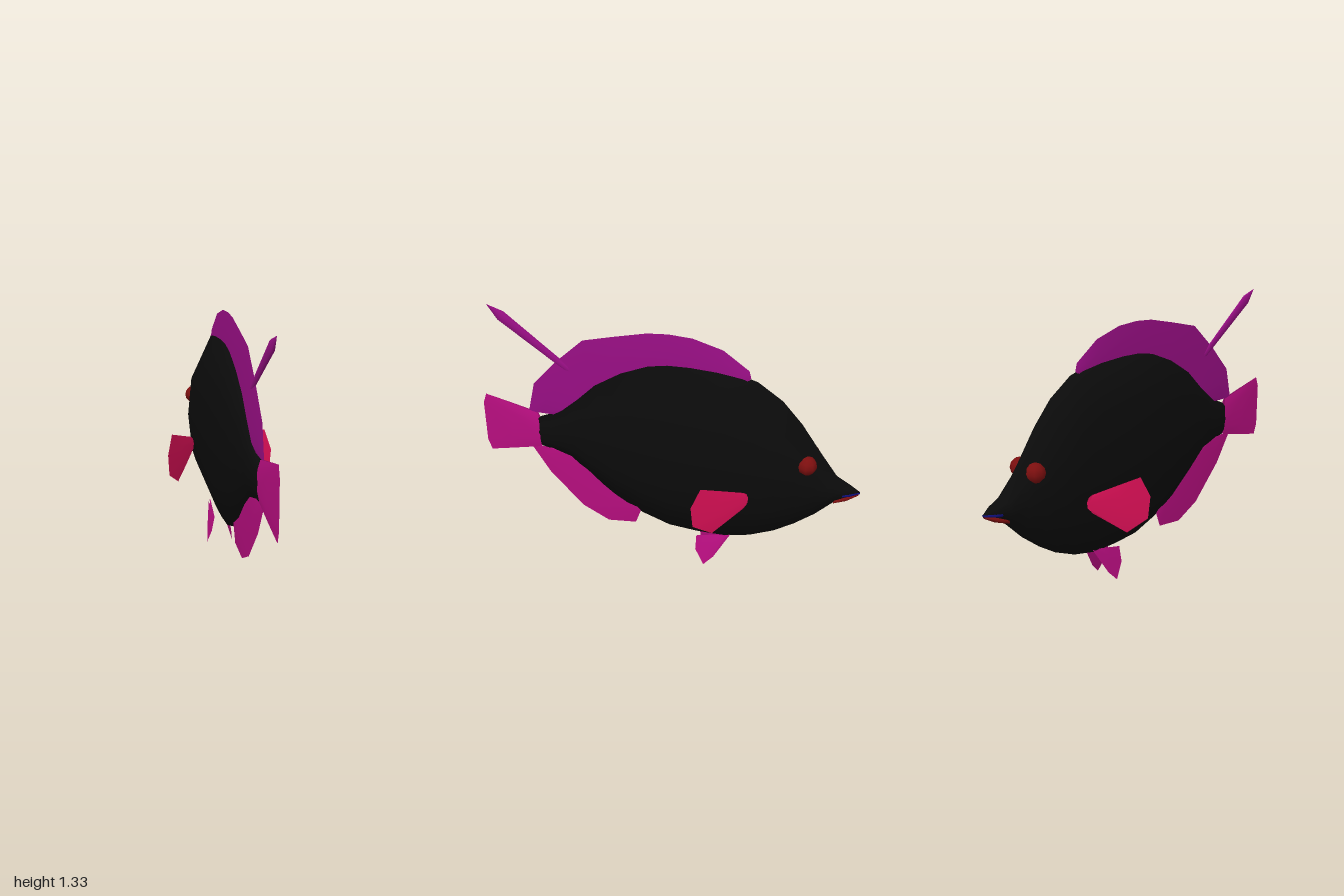
import * as THREE from 'three';

const mat = (name, color, side = THREE.FrontSide) => {
  const m = new THREE.MeshStandardMaterial({ color, side });
  m.name = name;
  return m;
};

function build(verts, index) {
  const g = new THREE.BufferGeometry();
  g.setAttribute('position', new THREE.Float32BufferAttribute(verts, 3));
  g.setIndex(index);
  g.computeVertexNormals();
  return g;
}

// Eight-sided cross-section, clockwise from the top ridge
const SECTION = [[0, 1], [0.81, 0.54], [1, 0], [0.81, -0.54], [0, -1], [-0.81, -0.54], [-1, 0], [-0.81, 0.54]];

// Skin through stations [z, top, bottom, halfWidth], ordered tail to nose
function loft(stations) {
  const verts = [], index = [], n = SECTION.length;
  for (const [z, top, bottom, w] of stations) {
    for (const [sx, sy] of SECTION) verts.push(sx * w, (top + bottom) / 2 + sy * (top - bottom) / 2, z);
  }
  for (let i = 0; i < stations.length - 1; i++) {
    for (let j = 0; j < n; j++) {
      const a = i * n + j, b = i * n + (j + 1) % n;
      index.push(a, b, a + n, b, b + n, a + n);
    }
  }
  const last = (stations.length - 1) * n;
  for (let j = 1; j < n - 1; j++) index.push(0, j + 1, j, last, last + j, last + j + 1);
  return build(verts, index);
}

// Wedge-shaped fin: thick along the inner [z, y] line, sharp along the outer one
function fin(inner, outer, thick, xAt = () => 0, mirror = 1) {
  const verts = [], index = [], n = inner.length;
  for (const s of [1, -1]) {
    const base = verts.length / 3;
    inner.forEach(([z, y], i) => {
      const [oz, oy] = outer[i];
      const mz = (z + oz) / 2, my = (y + oy) / 2;
      const edge = i === 0 || i === n - 1 ? 0.3 : 1;
      verts.push(mirror * (xAt(z, y) + s * thick * edge), y, z);
      verts.push(mirror * (xAt(mz, my) + s * thick * 0.7 * edge), my, mz);
      verts.push(mirror * xAt(oz, oy), oy, oz);
    });
    for (let i = 0; i < n - 1; i++) {
      for (let k = 0; k < 2; k++) {
        const a = base + i * 3 + k, b = a + 1, c = a + 3, d = a + 4;
        if (s * mirror > 0) index.push(a, b, c, b, d, c);
        else index.push(a, c, b, b, c, d);
      }
    }
  }
  return build(verts, index);
}

export function createModel() {
  const model = new THREE.Group();
  const black = mat('black skin', 0x0b0b0b);
  const purple = mat('purple fin', 0x960e82, THREE.DoubleSide);
  const magenta = mat('magenta fin', 0xb80e80, THREE.DoubleSide);
  const crimson = mat('crimson fin', 0xd80f55, THREE.DoubleSide);
  const darkRed = mat('dark red', 0x7c0f0f);
  const blue = mat('dark blue', 0x0e0e78);
  const add = (name, geometry, material) => {
    const mesh = new THREE.Mesh(geometry, material);
    mesh.name = name;
    model.add(mesh);
    return mesh;
  };

  // Body, with its tail stump and pointed snout
  add('body', loft([
    [0.725, 0.66, 0.62, 0.004], [0.71, 0.69, 0.585, 0.012], [0.675, 0.73, 0.547, 0.018],
    [0.605, 0.76, 0.535, 0.03], [0.515, 0.835, 0.51, 0.043], [0.40, 0.95, 0.41, 0.059],
    [0.26, 1.05, 0.3, 0.076], [0.12, 1.12, 0.225, 0.091], [-0.03, 1.155, 0.175, 0.103],
    [-0.18, 1.16, 0.166, 0.11], [-0.33, 1.152, 0.17, 0.113], [-0.465, 1.113, 0.203, 0.113],
    [-0.59, 1.03, 0.26, 0.11], [-0.69, 0.92, 0.327, 0.092], [-0.79, 0.78, 0.41, 0.069],
    [-0.88, 0.66, 0.505, 0.05], [-0.95, 0.617, 0.555, 0.031], [-1, 0.588, 0.58, 0.003],
  ]), black);

  // Mouth
  add('mouth', loft([[-0.92, 0.59, 0.555, 0.042], [-0.955, 0.592, 0.562, 0.033], [-1, 0.588, 0.577, 0.006]]), blue);
  add('lowerLip', loft([[-0.88, 0.54, 0.508, 0.036], [-0.94, 0.568, 0.533, 0.034], [-0.995, 0.58, 0.568, 0.007]]), darkRed);

  // Dorsal fin
  add('dorsalFin', fin(
    [[0.60, 0.755], [0.55, 0.79], [0.46, 0.87], [0.36, 0.97], [0.22, 1.06], [0.08, 1.12],
      [-0.02, 1.14], [-0.13, 1.145], [-0.27, 1.14], [-0.39, 1.125], [-0.42, 1.11]],
    [[0.74, 0.75], [0.70, 0.92], [0.57, 1.065], [0.42, 1.205], [0.25, 1.25], [0.086, 1.29],
      [-0.02, 1.3], [-0.14, 1.295], [-0.29, 1.255], [-0.42, 1.165], [-0.43, 1.13]], 0.013), purple);

  // Flattened spine rising from the back
  const spine = new THREE.Group();
  spine.name = 'dorsalSpine';
  const profile = [[0.002, 0], [0.016, 0.08], [0.029, 0.5], [0.031, 0.56], [0, 0.65]]
    .map(([r, y]) => new THREE.Vector2(r, y));
  const rod = new THREE.Mesh(new THREE.LatheGeometry(profile, 8), purple);
  rod.name = 'spineRod';
  rod.scale.x = 0.4;
  spine.add(rod);
  spine.position.set(0, 0.955, 0.395);
  spine.rotation.x = Math.atan2(0.53, 0.38);
  model.add(spine);

  // Anal fin
  add('analFin', fin(
    [[0.62, 0.545], [0.53, 0.525], [0.42, 0.45], [0.30, 0.34], [0.2, 0.28], [0.13, 0.25]],
    [[0.74, 0.54], [0.64, 0.385], [0.46, 0.2], [0.315, 0.13], [0.16, 0.15], [0.13, 0.235]], 0.013), magenta);

  // Tail fin
  add('tailFin', fin(
    [[0.69, 0.75], [0.68, 0.70], [0.68, 0.6], [0.68, 0.545]],
    [[0.98, 0.815], [1, 0.76], [1, 0.53], [0.98, 0.47]], 0.016), magenta);

  for (const side of [1, -1]) {
    const label = side > 0 ? 'left' : 'right';

    // Pectoral fin, swept out and back
    add(label + 'PectoralFin', fin(
      [[-0.45, 0.55], [-0.46, 0.535], [-0.468, 0.51], [-0.465, 0.48], [-0.455, 0.465]],
      [[-0.26, 0.622], [-0.22, 0.52], [-0.23, 0.405], [-0.315, 0.34], [-0.45, 0.455]],
      0.008, z => 0.11 + (z + 0.465) * 0.7, side), crimson);

    // Pelvic fin, hanging down and outward
    add(label + 'PelvicFin', fin(
      [[-0.37, 0.205], [-0.355, 0.195], [-0.34, 0.19], [-0.32, 0.195]],
      [[-0.29, 0.06], [-0.24, 0.005], [-0.19, 0.085], [-0.19, 0.165]],
      0.007, (z, y) => 0.03 + (0.205 - y) * 0.2, side), magenta);

    // Eye
    const eye = add(label + 'Eye', new THREE.SphereGeometry(0.049, 8, 6), darkRed);
    eye.position.set(side * 0.052, 0.727, -0.737);
  }

  // Rest the lowest fin tips on the ground
  const box = new THREE.Box3().setFromObject(model);
  model.position.y = -box.min.y;
  return model;
}
